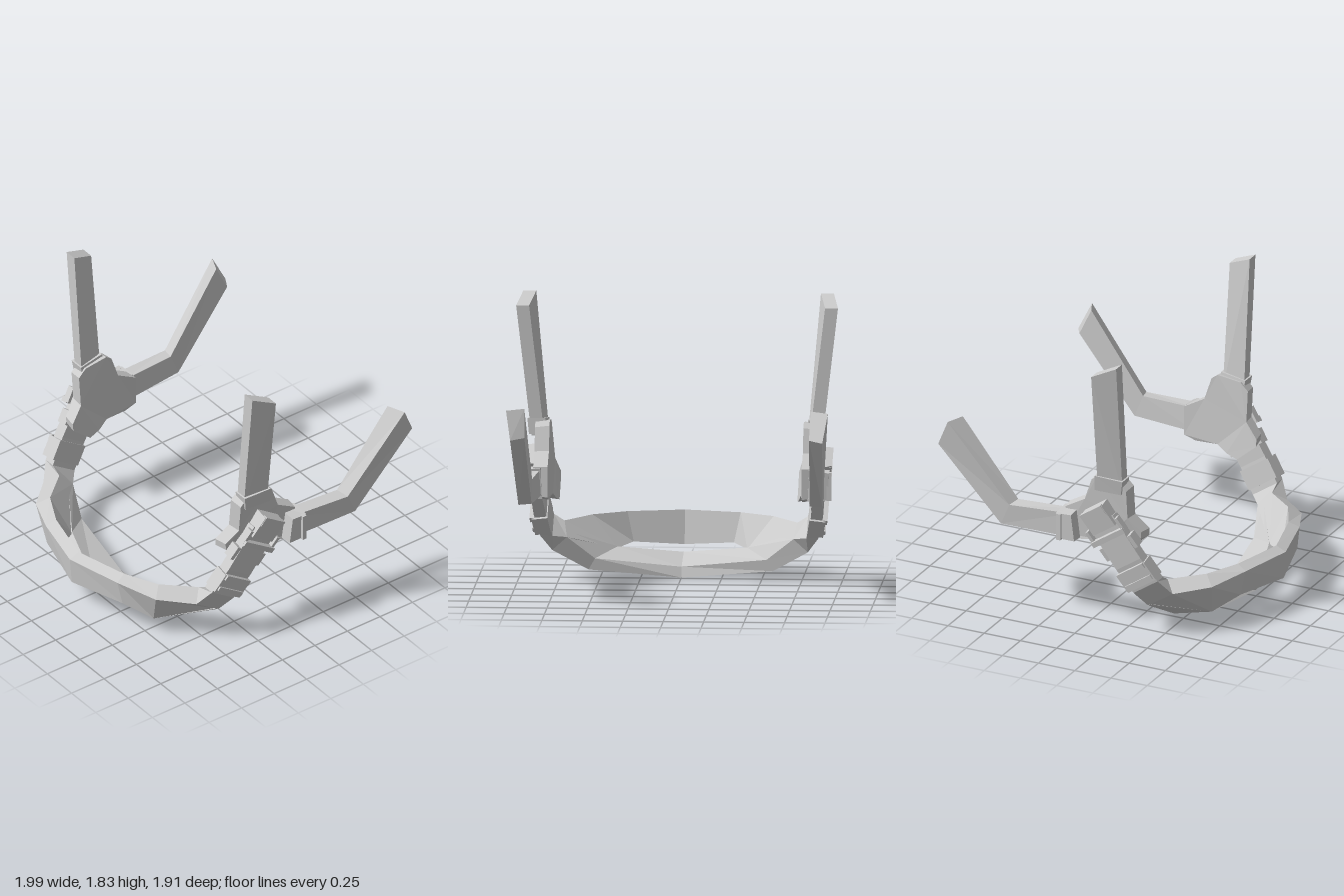
import * as THREE from 'three';

const material = new THREE.MeshStandardMaterial({ color: 0xcccccc, flatShading: true });

// Flat-faced geometry from corner triples, turned outward by its signed volume
function solid(tris) {
  const a = new THREE.Vector3();
  const volume = tris.reduce((s, [p, q, r]) =>
    s + a.fromArray(q).cross(new THREE.Vector3(...r)).dot(new THREE.Vector3(...p)), 0);
  const pos = tris.flatMap(([p, q, r]) => (volume < 0 ? [...p, ...r, ...q] : [...p, ...q, ...r]));
  const g = new THREE.BufferGeometry();
  g.setAttribute('position', new THREE.Float32BufferAttribute(pos, 3));
  g.computeVertexNormals();
  return g;
}

// Closed loft through four-cornered sections
function loft(sections) {
  const tris = [];
  for (let s = 0; s < sections.length - 1; s++) {
    const a = sections[s], b = sections[s + 1];
    for (let i = 0; i < 4; i++) {
      const j = (i + 1) % 4;
      tris.push([a[i], a[j], b[j]], [a[i], b[j], b[i]]);
    }
  }
  const [f, l] = [sections[0], sections[sections.length - 1]];
  tris.push([f[0], f[2], f[1]], [f[0], f[3], f[2]], [l[0], l[1], l[2]], [l[0], l[2], l[3]]);
  return solid(tris);
}

// Mirrored copy with its winding restored
function mirrored(geometry) {
  const p = geometry.index ? geometry.toNonIndexed().attributes.position : geometry.attributes.position;
  const at = (i) => [-p.getX(i), p.getY(i), p.getZ(i)];
  const tris = [];
  for (let i = 0; i < p.count; i += 3) tris.push([at(i), at(i + 2), at(i + 1)]);
  return solid(tris);
}

// Frame of the diagonal chin strap: t runs up the strap, w across it toward the front
const U = new THREE.Vector3(0.15, 0.83, -0.56).normalize();
const W = new THREE.Vector3(0, 0.56, 0.83).normalize();
const N = new THREE.Vector3().crossVectors(U, W).normalize();
const strapPoint = (t, w, x) => [x, 0.245 + 0.83 * t + 0.56 * w, 0.485 - 0.56 * t + 0.83 * w];

function strapBox(t, w, x, depth, length, width) {
  const m = new THREE.Matrix4().makeBasis(N, U, W).setPosition(...strapPoint(t, w, x));
  return new THREE.BoxGeometry(depth, length, width).applyMatrix4(m);
}

// Hub plate: outline given as [z, y], bent inward at its lower front end
function hubPlate() {
  const outline = [[0.3, 0.98], [0.25, 1.03], [0.09, 1.05], [0.05, 1.02], [0, 0.87], [-0.14, 0.79],
    [-0.14, 0.6], [-0.06, 0.575], [0.1, 0.59], [0.17, 0.55], [0.25, 0.53], [0.38, 0.64], [0.385, 0.69], [0.3, 0.78]];
  const shape = new THREE.Shape(outline.map(([z, y]) => new THREE.Vector2(-z, y)));
  const g = new THREE.ExtrudeGeometry(shape, { depth: 0.09, bevelEnabled: false }).rotateY(Math.PI / 2);
  const p = g.attributes.position;
  for (let i = 0; i < p.count; i++) {
    const x = p.getX(i), y = p.getY(i), z = p.getZ(i);
    const k = x > 0.05 ? 0.95 : 1;
    const bend = THREE.MathUtils.clamp((z - y + 0.6) / 0.3, 0, 1);
    p.setXYZ(i, x + 0.785 - 0.05 * bend, 0.79 + (y - 0.79) * k, 0.12 + (z - 0.12) * k);
  }
  g.computeVertexNormals();
  return g;
}

export function createModel() {
  const model = new THREE.Group();
  model.name = 'chinStrapHarness';
  const add = (name, geometry, parent = model) => {
    const mesh = new THREE.Mesh(geometry, material);
    mesh.name = name;
    parent.add(mesh);
  };

  // Chin cup: two bands, parted at the middle and joined toward the sides
  const symmetric = (half) => [
    ...half.slice(1).reverse().map((s) => s.map(([x, y, z]) => [-x, y, z])), ...half];
  add('chinCupUpperBand', loft(symmetric([
    [[0, 0.375, 0.89], [0, 0.345, 0.955], [0, 0.165, 0.94], [0, 0.165, 0.85]],
    [[0.35, 0.375, 0.8], [0.37, 0.345, 0.865], [0.39, 0.19, 0.84], [0.31, 0.19, 0.775]],
    [[0.56, 0.37, 0.69], [0.62, 0.315, 0.755], [0.55, 0.115, 0.72], [0.4, 0.17, 0.64]],
    [[0.72, 0.36, 0.5], [0.79, 0.3, 0.57], [0.79, 0.19, 0.4], [0.7, 0.27, 0.41]],
  ])));
  add('chinCupLowerBand', loft(symmetric([
    [[0, 0.13, 0.768], [0, 0.045, 0.75], [0, 0.005, 0.53], [0, 0.07, 0.55]],
    [[0.4, 0.18, 0.64], [0.55, 0.115, 0.72], [0.57, 0.06, 0.47], [0.53, 0.13, 0.47]],
    [[0.7, 0.3, 0.45], [0.79, 0.2, 0.42], [0.79, 0.19, 0.4], [0.7, 0.27, 0.41]],
  ])));

  // Side parts, shaped for the left and mirrored to the right
  const strapSection = (t, inner, outer, h = 0.1) => [
    strapPoint(t, h, inner), strapPoint(t, h, outer), strapPoint(t, -h, outer), strapPoint(t, -h, inner)];
  const sideParts = {
    hubPlate: hubPlate(),
    chinStrap: loft([
      [[0.72, 0.36, 0.5], [0.79, 0.3, 0.57], [0.79, 0.19, 0.4], [0.7, 0.27, 0.41]],
      strapSection(0.12, 0.785, 0.86), strapSection(0.3, 0.82, 0.895), strapSection(0.62, 0.85, 0.92)]),
    frontStrap: loft([
      [[0.8, 0.95, 0.265], [0.87, 0.95, 0.265], [0.9, 0.95, 0.11], [0.82, 0.95, 0.11]],
      [[0.88, 1.83, 0.265], [0.96, 1.83, 0.265], [0.995, 1.76, 0.11], [0.915, 1.76, 0.11]]]),
    rearStrap: loft([
      [[0.83, 0.77, -0.06], [0.92, 0.77, -0.06], [0.92, 0.61, -0.06], [0.82, 0.61, -0.06]],
      [[0.86, 0.765, -0.46], [0.945, 0.755, -0.48], [0.94, 0.615, -0.54], [0.86, 0.62, -0.52]],
      [[0.885, 1.26, -0.83], [0.995, 1.255, -0.88], [0.965, 1.08, -0.96], [0.88, 1.09, -0.91]]]),
    frontStrapLoop: loft([
      [[0.79, 0.945, 0.26], [0.885, 0.945, 0.26], [0.915, 0.96, 0.095], [0.8, 0.96, 0.095]],
      [[0.8, 1.04, 0.275], [0.895, 1.04, 0.275], [0.925, 1.06, 0.1], [0.815, 1.06, 0.1]]]),
    rearStrapLoop: loft([
      [[0.81, 0.785, -0.05], [0.955, 0.775, -0.05], [0.95, 0.6, -0.03], [0.81, 0.59, -0.03]],
      [[0.83, 0.785, -0.15], [0.955, 0.77, -0.155], [0.95, 0.6, -0.135], [0.82, 0.59, -0.135]]]),
    rearLoopBar: new THREE.BoxGeometry(0.03, 0.175, 0.03).translate(0.955, 0.685, -0.13),
    mainBuckle: strapBox(0.64, 0, 0.9, 0.1, 0.15, 0.18),
    mainBuckleCap: strapBox(0.68, 0, 0.945, 0.03, 0.07, 0.17),
    mainBuckleBar: strapBox(0.51, 0, 0.925, 0.045, 0.035, 0.26),
    sliderBase: strapBox(0.21, 0, 0.85, 0.1, 0.13, 0.23),
    sliderBarUpper: strapBox(0.255, 0, 0.907, 0.025, 0.035, 0.21),
    sliderBarLower: strapBox(0.17, 0, 0.893, 0.025, 0.03, 0.21),
  };
  for (const [label, w] of [['Front', 0.12], ['Rear', -0.12]]) {
    sideParts[`buckleArm${label}`] = strapBox(0.55, w, 0.915, 0.045, 0.1, 0.022);
    sideParts[`buckleTab${label}`] = strapBox(0.42, w * 0.9, 0.865, 0.07, 0.09, 0.04);
  }
  for (const side of ['left', 'right']) {
    const group = new THREE.Group();
    group.name = `${side}Side`;
    for (const [name, g] of Object.entries(sideParts)) add(name, side === 'left' ? g : mirrored(g), group);
    model.add(group);
  }
  return model;
}
